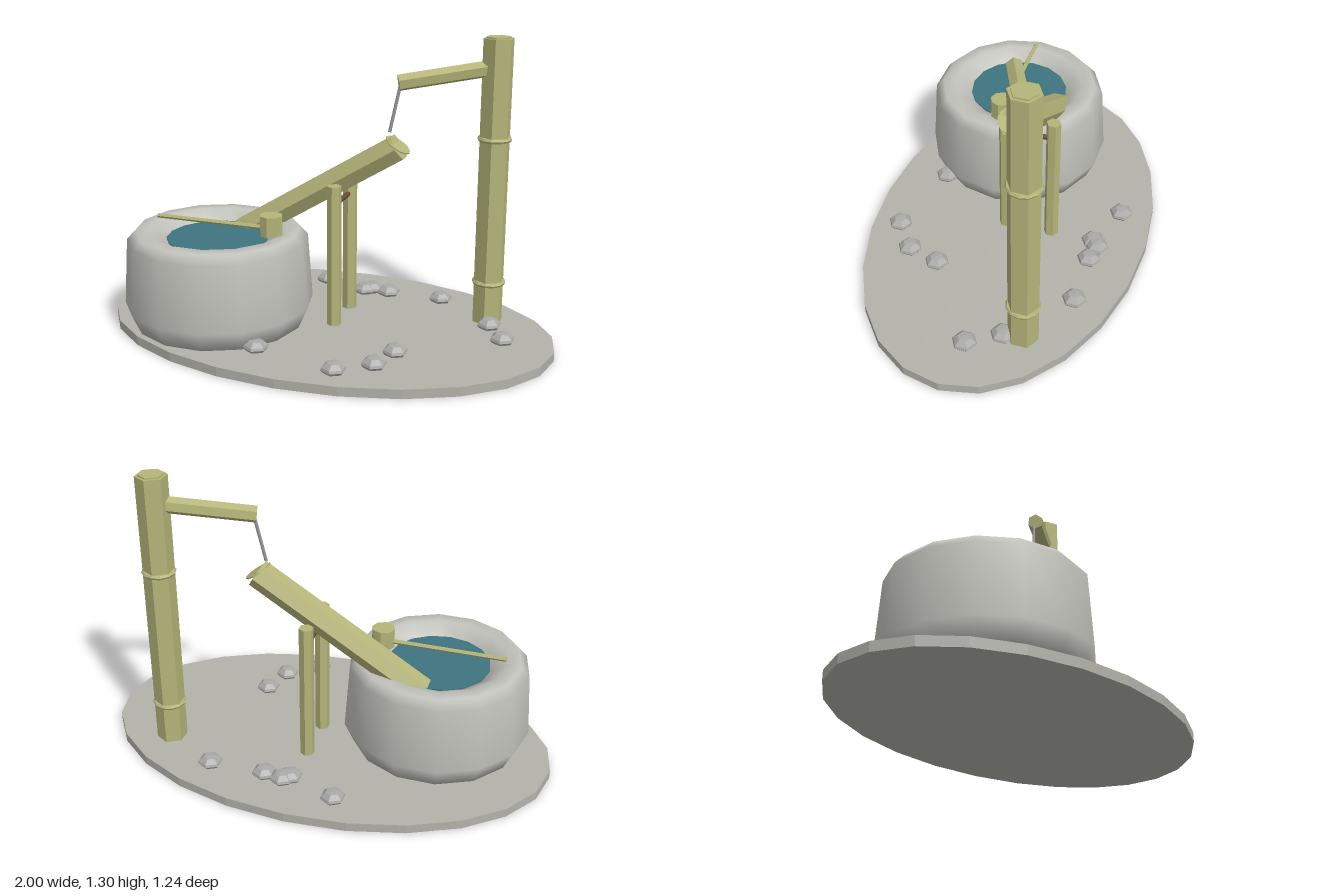
import * as THREE from 'three';

const mat = (name, color, flatShading = false) => {
  const m = new THREE.MeshStandardMaterial({ color, flatShading });
  m.name = name;
  return m;
};

export function createModel() {
  const group = new THREE.Group();
  const bamboo = mat('bamboo', 0xb5b57a, true);
  const gravel = mat('gravel', 0xb3b3ab, true);
  const stone = mat('basinStone', 0xc2c2bc);
  const pebble = mat('pebbleStone', 0xa9a9a6, true);
  const water = mat('water', 0x3f7480);
  const stream = mat('stream', 0x9a9c9c);
  const wood = mat('darkWood', 0x6b4a3c);

  const add = (name, geometry, material, x = 0, y = 0, z = 0) => {
    const mesh = new THREE.Mesh(geometry, material);
    mesh.name = name;
    mesh.position.set(x, y, z);
    group.add(mesh);
    return mesh;
  };

  // Straight rod between two points
  const up = new THREE.Vector3(0, 1, 0);
  const rod = (name, a, b, r, sides, material) => {
    const from = new THREE.Vector3(...a), to = new THREE.Vector3(...b);
    const dir = to.clone().sub(from);
    const mesh = add(name, new THREE.CylinderGeometry(r, r, dir.length(), sides), material);
    mesh.position.copy(from).add(to).multiplyScalar(0.5);
    mesh.quaternion.setFromUnitVectors(up, dir.normalize());
    return mesh;
  };

  const lathe = (points, sides) =>
    new THREE.LatheGeometry(points.map(p => new THREE.Vector2(...p)), sides);

  // Oval ground
  add('ground', new THREE.CylinderGeometry(1, 1, 0.04, 24), gravel, 0, 0.02, 0).scale.z = 0.622;

  // Rounded stone basin with water
  const basin = add('basin', lathe([
    [0, 0.041], [0.375, 0.041], [0.415, 0.13], [0.395, 0.42], [0.36, 0.458],
    [0.3, 0.46], [0.225, 0.415], [0.2, 0.35], [0, 0.35],
  ], 14), stone, -0.465, 0, 0.12);
  basin.rotation.y = Math.PI / 2;
  add('basinWater', new THREE.CylinderGeometry(0.225, 0.225, 0.01, 16), water, -0.465, 0.415, 0.12);

  // Ladle lying across the rim
  rod('ladleHandle', [-0.755, 0.485, 0.122], [-0.21, 0.485, 0.122], 0.01, 6, bamboo);
  add('ladleCup', new THREE.CylinderGeometry(0.051, 0.051, 0.09, 8), bamboo, -0.21, 0.5, 0.124);

  // Tilting tube with a slanted mouth
  rod('tiltingTube', [-0.44, 0.387, -0.085], [0.29, 0.838, -0.085], 0.062, 6, bamboo);
  const mouth = add('tubeMouth', new THREE.CylinderGeometry(0.06, 0.06, 0.006, 12), bamboo, 0.287, 0.847, -0.083);
  mouth.rotation.z = -0.58;

  // Two support posts and the pivot pin
  for (const z of [0.022, -0.19])
    add('supportPost', new THREE.CylinderGeometry(0.032, 0.032, 0.67, 6), bamboo, 0.04, 0.336, z);
  rod('pivotPin', [0.04, 0.586, -0.19], [0.04, 0.586, 0.022], 0.011, 8, wood);

  // Tall pole with node rings and a cap
  add('tallPole', new THREE.CylinderGeometry(0.067, 0.067, 1.275, 6), bamboo, 0.665, 0.6575, -0.249);
  add('poleCap', new THREE.CylinderGeometry(0.054, 0.054, 0.01, 6), bamboo, 0.665, 1.296, -0.249);
  for (const y of [0.225, 0.868])
    add('nodeRing', new THREE.TorusGeometry(0.063, 0.011, 6, 12), bamboo, 0.665, y, -0.249)
      .rotation.x = Math.PI / 2;

  // Spout and falling stream
  rod('spout', [0.283, 1.111, -0.092], [0.655, 1.172, -0.245], 0.036, 6, bamboo);
  rod('fallingStream', [0.289, 1.105, -0.102], [0.25, 0.9, -0.083], 0.007, 6, stream);

  // Scattered pebbles
  const pebbleShape = lathe([
    [0, 0.03], [0.04, 0.035], [0.054, 0.052], [0.05, 0.063], [0.029, 0.081], [0, 0.084],
  ], 6);
  const spots = [
    [-0.165, -0.47], [0.05, -0.39], [0.08, -0.415], [0.165, -0.4], [0.415, -0.4], [0.69, -0.17],
    [0.775, -0.033], [0.383, 0.235], [0.337, 0.38], [0.2, 0.48], [-0.175, 0.39],
  ];
  for (const [x, z] of spots) add('pebble', pebbleShape, pebble, x, 0, z);

  return group;
}
